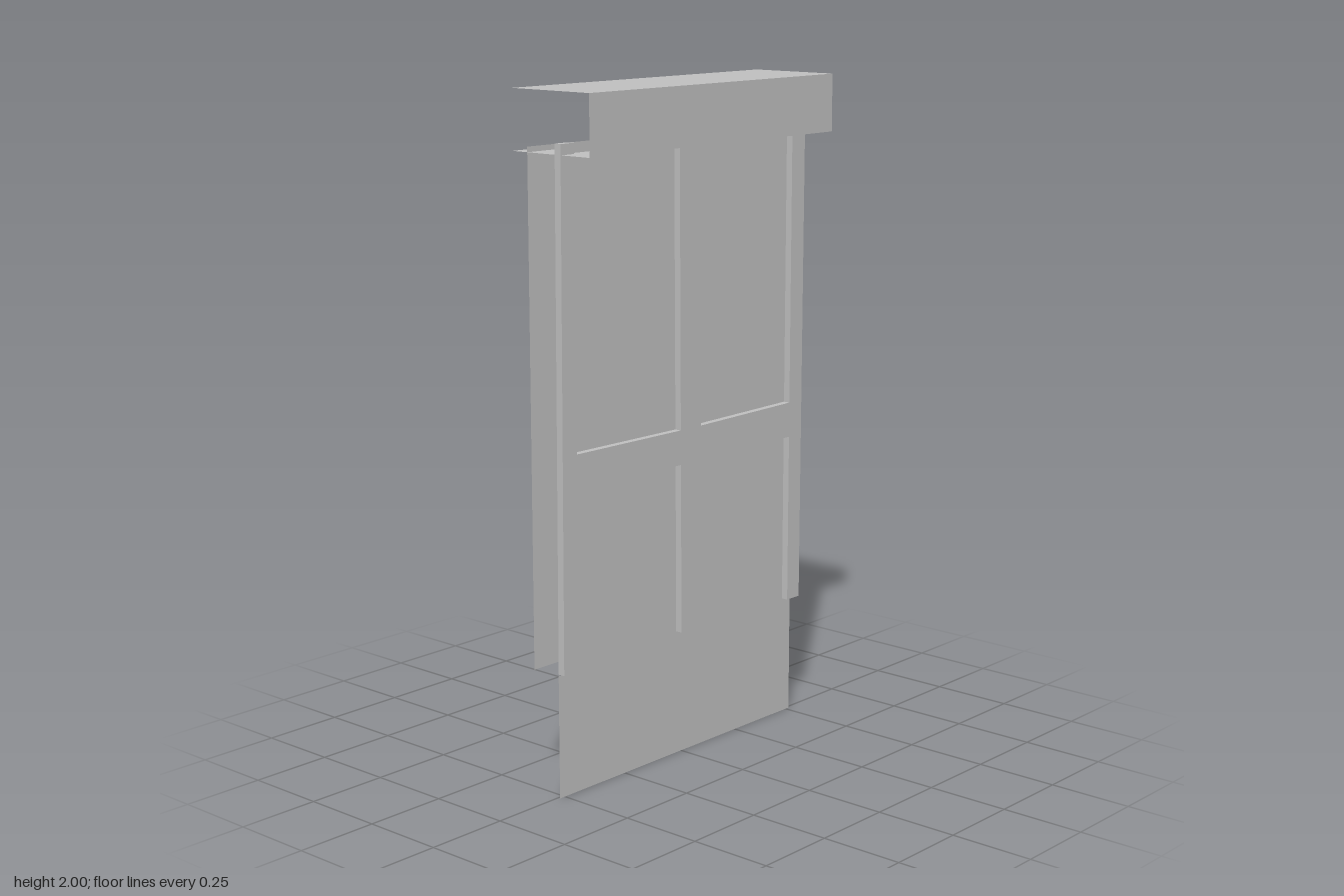
import * as THREE from 'three';

export function createModel() {
  const group = new THREE.Group();
  const grey = new THREE.MeshStandardMaterial({ color: 0xc0c0c0, side: THREE.DoubleSide });
  grey.name = 'plain grey';

  function add(name, geometry) {
    const mesh = new THREE.Mesh(geometry, grey);
    mesh.name = name;
    group.add(mesh);
  }

  // Upright sheet between x0..x1 and y0..y1 at depth z
  function sheet(name, x0, x1, y0, y1, z) {
    add(name, new THREE.PlaneGeometry(x1 - x0, y1 - y0)
      .translate((x0 + x1) / 2, (y0 + y1) / 2, z));
  }

  // Level sheet of the header at height y
  function shelf(name, y) {
    add(name, new THREE.PlaneGeometry(1.04, 0.29).rotateX(-Math.PI / 2).translate(0, y, 0));
  }

  // Frame bar cut from a four-cornered outline, slightly out of true
  function bar(name, corners) {
    const shape = new THREE.Shape(corners.map(([x, y]) => new THREE.Vector2(x, y)));
    add(name, new THREE.ExtrudeGeometry(shape, { depth: 0.022, bevelEnabled: false })
      .translate(0, 0, 0.018));
  }

  // Open header: fascia with top and bottom boards
  sheet('headerFascia', -0.52, 0.52, 1.83, 2, 0.145);
  shelf('headerTop', 2);
  shelf('headerBottom', 1.83);

  // Door leaf, kick panel and back sheet
  sheet('doorPanel', -0.52, 0.515, 0.365, 1.845, 0.019);
  sheet('kickPanel', -0.52, 0.515, 0, 0.365, 0.008);
  sheet('backPanel', -0.52, 0.52, 0.363, 1.845, -0.088);

  // Raised frame: three stiles and a rail on each side of the middle one
  bar('rightStile', [[-0.53, 0.375], [-0.47, 0.375], [-0.47, 1.86], [-0.522, 1.86]]);
  bar('middleStile', [[-0.034, 0.385], [0.054, 0.385], [0.046, 1.86], [-0.042, 1.86]]);
  bar('leftStile', [[0.463, 0.375], [0.52, 0.375], [0.525, 1.86], [0.465, 1.86]]);
  bar('rightRail', [[-0.47, 0.895], [-0.036, 0.895], [-0.036, 0.998], [-0.47, 1.002]]);
  bar('leftRail', [[0.05, 0.895], [0.464, 0.895], [0.464, 1.002], [0.05, 0.998]]);

  return group;
}
